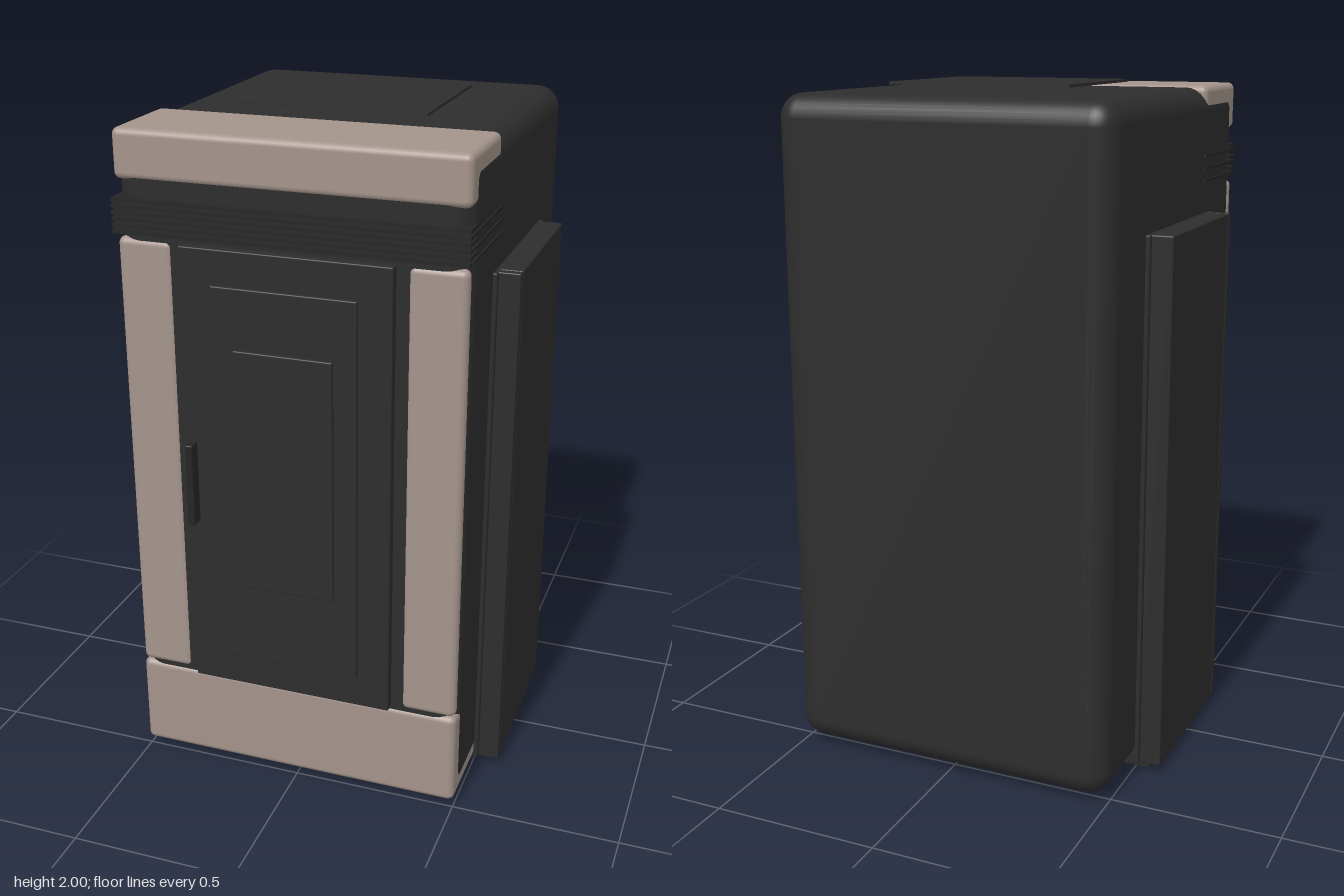
import * as THREE from 'three';
import { RoundedBoxGeometry } from 'three/addons/geometries/RoundedBoxGeometry.js';

export function createModel() {
  const model = new THREE.Group();
  model.name = 'cabinet';

  const mat = (name, color) => {
    const m = new THREE.MeshStandardMaterial({ color });
    m.name = name;
    return m;
  };
  const charcoal = mat('charcoal', 0x2d2d2d);
  const black = mat('black', 0x252525);
  const taupe = mat('taupe', 0xa4948b);

  // Box from its limits on each axis, with optional rounded edges
  const box = (name, material, [x0, x1], [y0, y1], [z0, z1], radius = 0) => {
    const size = [x1 - x0, y1 - y0, z1 - z0];
    const geometry = radius
      ? new RoundedBoxGeometry(...size, 4, radius)
      : new THREE.BoxGeometry(...size);
    const mesh = new THREE.Mesh(geometry, material);
    mesh.name = name;
    mesh.position.set((x0 + x1) / 2, (y0 + y1) / 2, (z0 + z1) / 2);
    model.add(mesh);
    return mesh;
  };
  // The same box on the left and right
  const pair = (name, material, [x0, x1], y, z, radius) => {
    box(name + 'Left', material, [x0, x1], y, z, radius);
    box(name + 'Right', material, [-x1, -x0], y, z, radius);
  };

  // Main shell and plinth
  box('body', charcoal, [-0.505, 0.505], [0.025, 1.975], [-0.577, 0.51], 0.068);
  box('plinth', charcoal, [-0.54, 0.54], [0, 0.026], [-0.28, 0.215]);

  // Pale front trim: base, header and two pillars
  box('baseTrim', taupe, [-0.503, 0.503], [0.027, 0.32], [0.215, 0.515], 0.02);
  box('headerTrim', taupe, [-0.503, 0.503], [1.84, 1.981], [0.215, 0.515], 0.02);
  pair('pillar', taupe, [0.336, 0.501], [0.322, 1.68], [0.473, 0.515], 0.02);

  // Door with two stepped panels and a handle
  box('door', charcoal, [-0.308, 0.305], [0.322, 1.678], [0.49, 0.538], 0.004);
  box('doorPanel', charcoal, [-0.213, 0.21], [0.42, 1.578], [0.53, 0.549], 0.004);
  box('doorInset', charcoal, [-0.147, 0.143], [0.67, 1.403], [0.54, 0.56], 0.004);
  box('handle', black, [-0.296, -0.274], [0.853, 1.105], [0.535, 0.575], 0.004);

  // Front vent fins
  for (let i = 0; i < 6; i++) {
    const y = 1.698 + i * 0.0178;
    box('ventFin', black, [-0.506, 0.506], [y - 0.005, y + 0.005], [0.45, 0.528]);
  }
  // Side vent slats
  for (const y of [1.702, 1.738, 1.775]) {
    pair('sideSlat', black, [0.49, 0.51], [y - 0.004, y + 0.004], [0.2, 0.508]);
  }

  // Side panels with backing plate and front flange
  pair('sideBacking', charcoal, [0.48, 0.517], [0.022, 1.605], [-0.313, 0.27], 0.004);
  pair('sidePanel', charcoal, [0.5, 0.579], [0.02, 1.605], [-0.298, 0.224], 0.005);
  pair('sideFlange', charcoal, [0.5, 0.579], [0.02, 1.605], [0.228, 0.253], 0.004);

  // Roof hatch plate
  box('roofHatch', charcoal, [-0.277, 0.277], [1.992, 2], [-0.314, 0.15]);

  return model;
}
